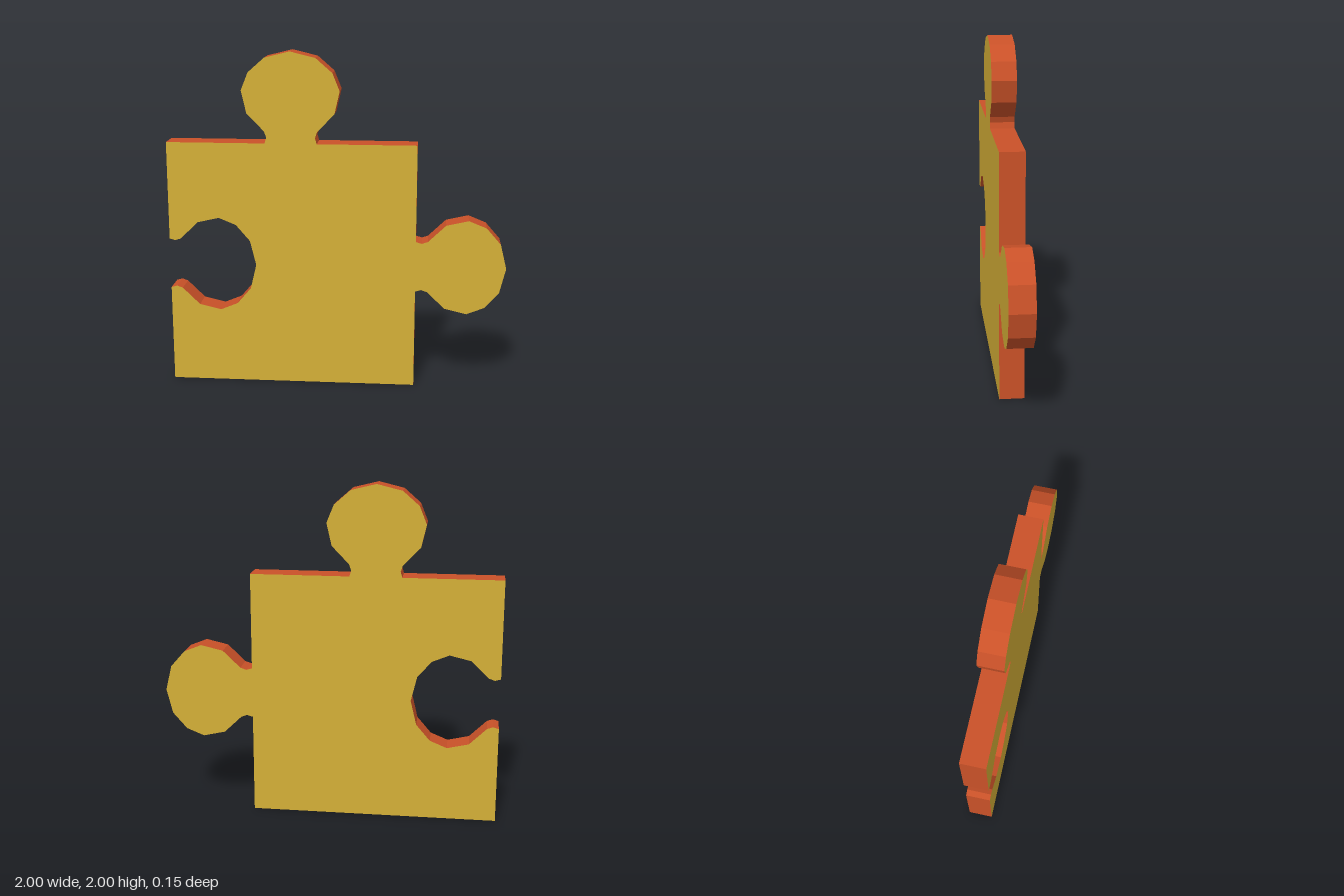
import * as THREE from 'three';

// Half of the knob outline: [offset along the edge, distance out from the edge]
const HALF = [
  [0.152, 0], [0.142, 0.035], [0.154, 0.07], [0.255, 0.175],
  [0.285, 0.306], [0.243, 0.41], [0.147, 0.494],
];
const TIP = [0, 0.53];

// Full knob outline, running from negative to positive offset
const KNOB = [
  ...HALF.map(([u, v]) => [-u, v]),
  TIP,
  ...HALF.slice().reverse(),
];

export function createModel() {
  const gold = new THREE.MeshStandardMaterial({ color: 0xd4af37 });
  gold.name = 'gold face';
  const rust = new THREE.MeshStandardMaterial({ color: 0xc95128 });
  rust.name = 'rust edge';

  const left = -1, right = 0.467, top = 1.47, depth = 0.146;
  const midX = (left + right) / 2, midY = top / 2;

  // Outline, counter-clockwise from the bottom corner
  const outline = [
    [left, 0], [right, 0],
    ...KNOB.map(([u, v]) => [right + v, midY + 0.011 + u]), // side knob
    [right, top],
    ...KNOB.map(([u, v]) => [midX - u, top + v]), // top knob
    [left, top],
    ...KNOB.map(([u, v]) => [left + v * 0.98, midY - u]), // socket
  ];
  const shape = new THREE.Shape(outline.map(([x, y]) => new THREE.Vector2(x, y)));

  // Gold faces front and back, rust walls all round
  const geometry = new THREE.ExtrudeGeometry(shape, { depth, bevelEnabled: false });
  geometry.translate(0, 0, -depth / 2);
  const piece = new THREE.Mesh(geometry, [gold, rust]);
  piece.name = 'puzzlePiece';

  const group = new THREE.Group();
  group.name = 'jigsawPiece';
  group.add(piece);
  return group;
}
